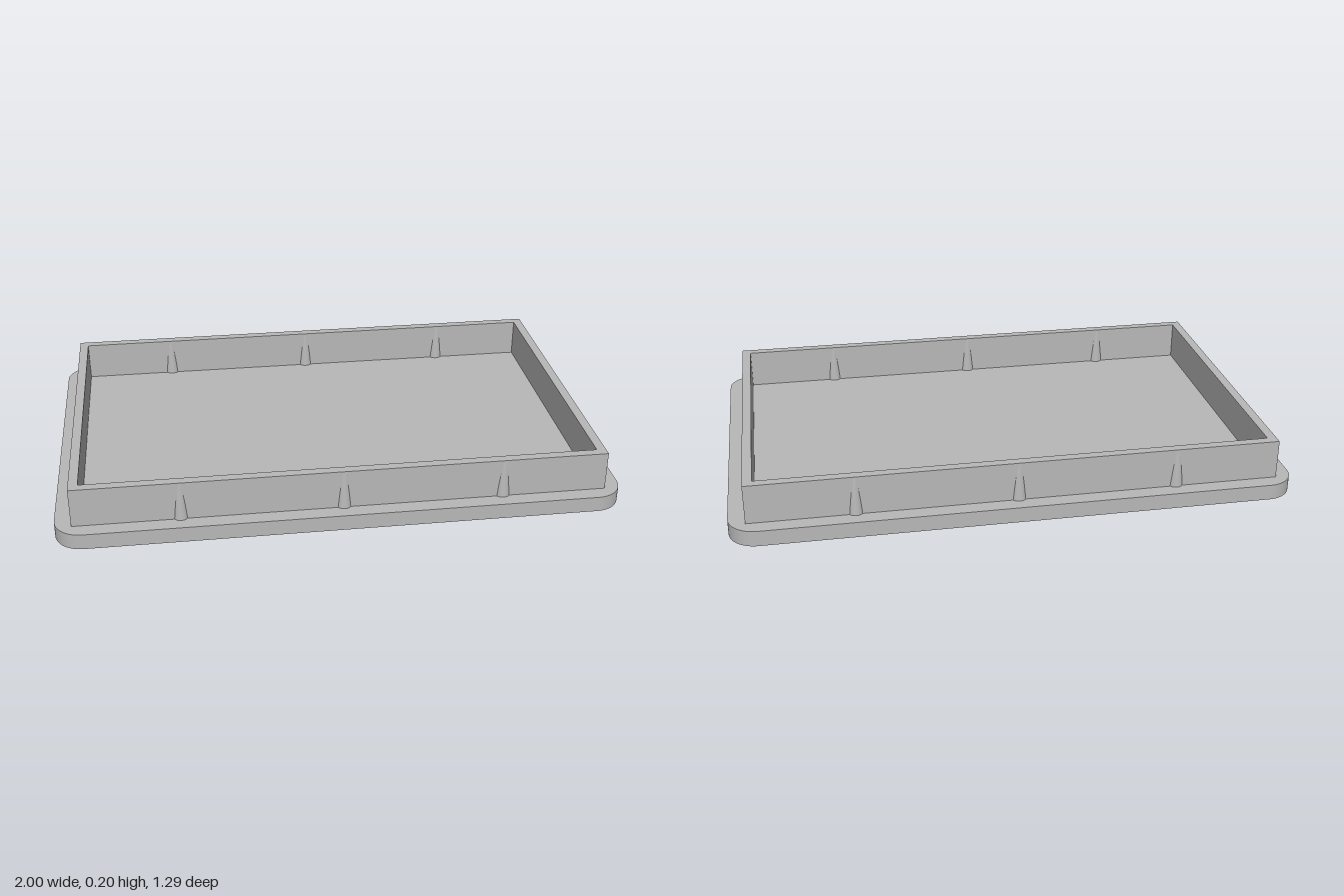
import * as THREE from 'three';

const grey = new THREE.MeshStandardMaterial({ color: 0xb8b8b8 });
grey.name = 'light grey';

const BASE_TOP = 0.057, HEIGHT = 0.2;

// Rectangle outline with optional rounded corners
function rectangle(PathType, halfX, halfZ, r = 0) {
  const p = new PathType();
  if (r === 0) {
    p.moveTo(-halfX, -halfZ).lineTo(halfX, -halfZ).lineTo(halfX, halfZ).lineTo(-halfX, halfZ).closePath();
    return p;
  }
  p.moveTo(-halfX + r, -halfZ);
  p.absarc(halfX - r, -halfZ + r, r, -Math.PI / 2, 0);
  p.absarc(halfX - r, halfZ - r, r, 0, Math.PI / 2);
  p.absarc(-halfX + r, halfZ - r, r, Math.PI / 2, Math.PI);
  p.absarc(-halfX + r, -halfZ + r, r, Math.PI, Math.PI * 1.5);
  return p;
}

// Upright extrusion of a plan shape from y0 to y1
function slab(name, shape, y0, y1) {
  const geometry = new THREE.ExtrudeGeometry(shape, { depth: y1 - y0, bevelEnabled: false, curveSegments: 16 });
  geometry.rotateX(-Math.PI / 2).translate(0, y0, 0);
  const mesh = new THREE.Mesh(geometry, grey);
  mesh.name = name;
  return mesh;
}

export function createModel() {
  const model = new THREE.Group();
  model.name = 'trayLid';

  // Rounded base plate
  model.add(slab('basePlate', rectangle(THREE.Shape, 1, 0.643, 0.1), 0, BASE_TOP));

  // Square-cornered raised rim
  const rim = rectangle(THREE.Shape, 0.94, 0.586);
  rim.holes.push(rectangle(THREE.Path, 0.907, 0.553));
  model.add(slab('rimWall', rim, BASE_TOP, HEIGHT));

  // Tapered pegs embedded in the long walls
  const h = HEIGHT - BASE_TOP - 0.001;
  const pegGeometry = new THREE.CylinderGeometry(0.0165, 0.028, h, 24);
  for (const x of [-0.567, 0, 0.567]) {
    for (const side of [-1, 1]) {
      const peg = new THREE.Mesh(pegGeometry, grey);
      peg.name = 'snapPeg';
      peg.position.set(x, BASE_TOP + h / 2, side * 0.5695);
      model.add(peg);
    }
  }
  return model;
}
